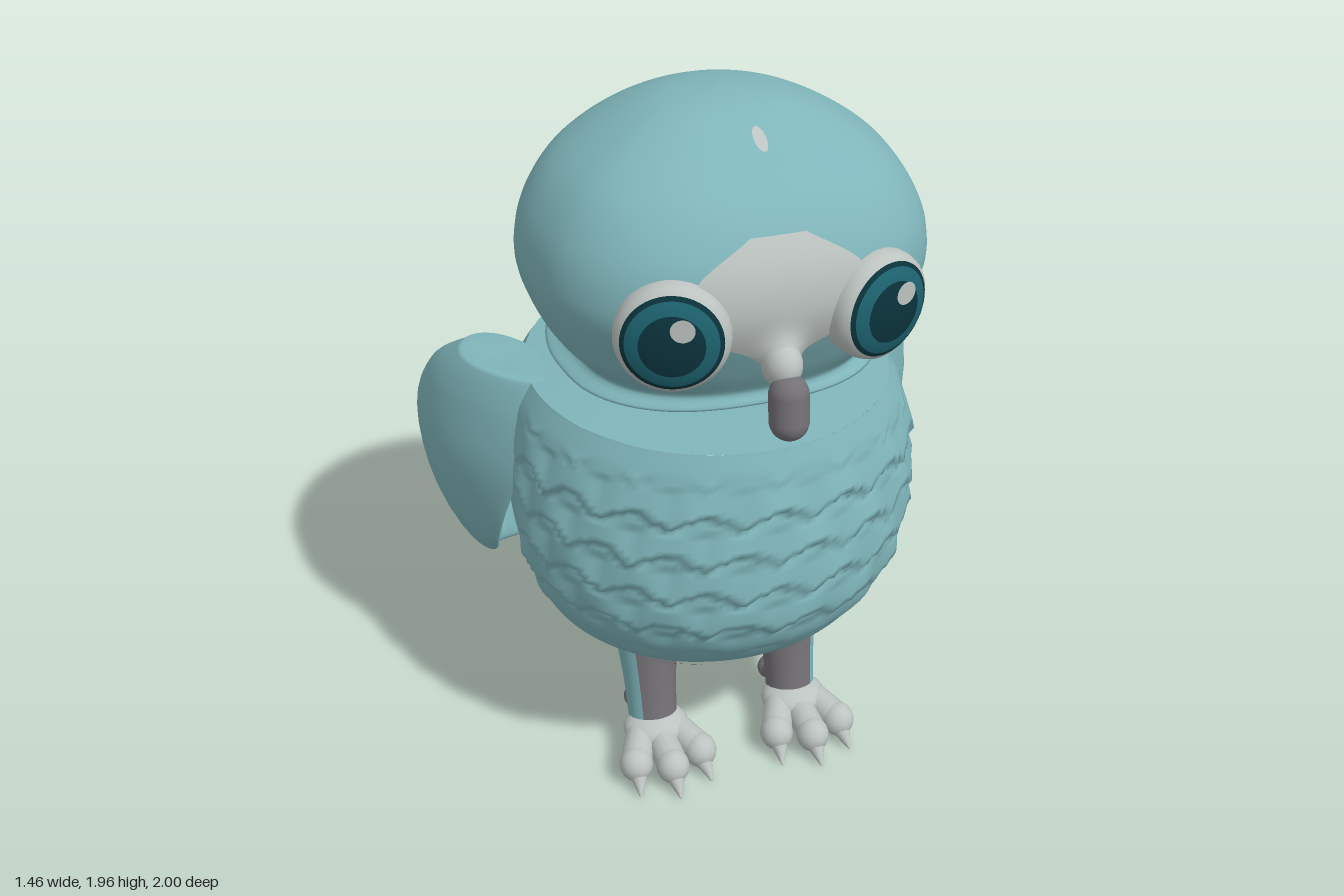
import * as THREE from 'three';
import { mergeVertices } from 'three/addons/utils/BufferGeometryUtils.js';

const { lerp, smoothstep, clamp } = THREE.MathUtils;
const TAU = Math.PI * 2;

function material(name, color) {
  const m = new THREE.MeshStandardMaterial({ color });
  m.name = name;
  return m;
}

// Smooth surface from a rule fn(u, v) -> [x, y, z]
function surface(nu, nv, fn) {
  const pos = [], idx = [];
  for (let j = 0; j <= nv; j++) for (let i = 0; i <= nu; i++) pos.push(...fn(i / nu, j / nv));
  for (let j = 0; j < nv; j++) for (let i = 0; i < nu; i++) {
    const a = j * (nu + 1) + i, b = a + 1, c = a + nu + 1;
    idx.push(a, c, b, b, c, c + 1);
  }
  const g = new THREE.BufferGeometry();
  g.setAttribute('position', new THREE.Float32BufferAttribute(pos, 3));
  g.setIndex(idx);
  const merged = mergeVertices(g, 1e-5);
  merged.computeVertexNormals();
  return merged;
}

// Smooth interpolation between table rows, t in 0..1
function rowAt(rows, t) {
  const n = rows.length - 1, f = clamp(t, 0, 1) * n, i = Math.min(Math.floor(f), n - 1), k = f - i;
  const p = [i - 1, i, i + 1, i + 2].map(q => rows[clamp(q, 0, n)]);
  return rows[0].map((_, c) => {
    const [a, b, d, e] = p.map(r => r[c]);
    return b + 0.5 * k * (d - a + k * (2 * a - 5 * b + 4 * d - e + k * (3 * (b - d) + e - a)));
  });
}

// Parameter t at which the rows reach height y
function findT(rows, y, lo = 0) {
  let hi = 1;
  for (let i = 0; i < 30; i++) {
    const mid = (lo + hi) / 2;
    if (rowAt(rows, mid)[0] < y) lo = mid; else hi = mid;
  }
  return lo;
}

const power = (v, e) => Math.sign(v) * Math.abs(v) ** e;

// Ring point; rows hold [y, half width, front z, back z, middle z]
function ringPoint(rows, a, t, n = 2) {
  const [y, w, front, back, mid] = rowAt(rows, t);
  const s = power(Math.sin(a), 2 / n), c = power(Math.cos(a), 2 / n);
  return [Math.max(w, 0) * c, y, mid + s * (s > 0 ? front - mid : mid - back)];
}

const bodyRows = [
  [0.2, 0, 0.2, 0.2, 0.2], [0.205, 0.1, 0.3, 0.1, 0.2], [0.235, 0.22, 0.43, -0.02, 0.22],
  [0.3, 0.33, 0.57, -0.15, 0.25], [0.4, 0.42, 0.71, -0.27, 0.3], [0.5, 0.48, 0.82, -0.34, 0.35],
  [0.65, 0.53, 0.9, -0.38, 0.38], [0.8, 0.55, 0.92, -0.375, 0.4], [0.95, 0.545, 0.915, -0.335, 0.4],
  [1.08, 0.53, 0.9, -0.27, 0.38], [1.165, 0.49, 0.87, -0.19, 0.36]];
const neckRows = [
  [1.165, 0.49, 0.87, -0.19, 0.36], [1.178, 0.38, 0.72, -0.05, 0.36], [1.185, 0.28, 0.6, 0.08, 0.35],
  [1.21, 0.28, 0.6, 0.08, 0.35], [1.225, 0.36, 0.66, 0.01, 0.35], [1.245, 0.36, 0.66, 0.01, 0.35]];
const headRows = [
  [1.245, 0, 0.35, 0.35, 0.35], [1.235, 0.41, 0.74, -0.1, 0.36], [1.28, 0.39, 0.76, -0.01, 0.38],
  [1.36, 0.455, 0.81, -0.035, 0.4], [1.5, 0.515, 0.88, -0.06, 0.42], [1.6, 0.52, 0.89, -0.055, 0.42],
  [1.7, 0.49, 0.86, -0.03, 0.42], [1.8, 0.42, 0.785, 0.03, 0.42], [1.885, 0.3, 0.66, 0.13, 0.42],
  [1.945, 0.16, 0.54, 0.27, 0.42], [1.965, 0, 0.42, 0.42, 0.42]];
const headPower = a => 2 + 0.5 * smoothstep(Math.sin(a), 0, 0.4);

// Front surface depth of the head at x, y
function headZ(x, y) {
  const [, w, front, , mid] = rowAt(headRows, findT(headRows, y, 0.15));
  return mid + (front - mid) * Math.max(0, 1 - Math.abs(x / w) ** 2.5) ** 0.4;
}

// Overlapping chest feathers as a scalloped sawtooth relief
function feather(p, a) {
  const mask = smoothstep(p[2], 0.33, 0.42) * smoothstep(p[1], 0.5, 0.6) * (1 - smoothstep(p[1], 1.04, 1.12));
  const row = Math.floor((p[1] - 0.5) / 0.115);
  const across = a * 9 + row * 1.57;
  const f = (p[1] - 0.5) / 0.115 - 0.4 * Math.abs(Math.sin(across));
  const saw = 1 - (f - Math.floor(f));
  const d = 0.032 * mask * (saw - 0.4) * (0.75 + 0.25 * Math.sin(across * 1.7 + row));
  return [p[0] + Math.cos(a) * d, p[1], p[2] + Math.sin(a) * d];
}

// Wing rows: [y, front z, back z, outer x, thickness]
const wingRows = [
  [0.195, -0.35, -0.38, 0.36, 0.01], [0.22, -0.32, -0.385, 0.39, 0.04], [0.265, -0.26, -0.4, 0.445, 0.06],
  [0.275, -0.24, -0.44, 0.46, 0.07], [0.37, -0.09, -0.435, 0.55, 0.09], [0.4, -0.03, -0.45, 0.575, 0.09],
  [0.5, 0.13, -0.465, 0.63, 0.1], [0.62, 0.23, -0.42, 0.68, 0.1], [0.75, 0.3, -0.35, 0.715, 0.11],
  [0.9, 0.36, -0.25, 0.73, 0.12], [1.05, 0.4, -0.12, 0.71, 0.16], [1.15, 0.4, 0.02, 0.675, 0.2],
  [1.17, 0.36, 0.06, 0.65, 0.18], [1.165, 0.2, 0.2, 0.58, 0]];

function wing(side) {
  return surface(32, 90, (u, v) => {
    const [y, zf, zb, x, th] = rowAt(wingRows, v), a = side * u * TAU;
    const z = (zf + zb) / 2 + Math.sin(a) * (zf - zb) / 2;
    const bow = z > 0 ? 1.1 * z * z : 0.25 * z * z;
    return [side * (x - bow - th / 2 * (1 - Math.cos(a))), y, z];
  });
}

// Broad tail with a notched end and slightly raised edges
function tailPoint(u, t) {
  const a = u * TAU, x = 0.285 * power(Math.cos(a), 0.6), e = Math.abs(x);
  const end = -0.87 - 0.13 * smoothstep(e, 0.03, 0.19) + 0.04 * smoothstep(e, 0.24, 0.29);
  const z = -0.2 + (end + 0.2) * t, tip = Math.max(0, (t - 0.9) / 0.1);
  const h = (lerp(0.16, 0.06, t) + 0.05 * (1 - smoothstep(t, 0, 0.4))) * Math.sqrt(1 - tip * tip);
  return [x, 0.57 + 0.41 * (z + 0.2) + h * power(Math.sin(a), 0.7) + 0.03 * (x / 0.285) ** 2 - 0.01, z];
}

// Tapered rod between two points
function rod(p, q, r0, r1) {
  const a = new THREE.Vector3(...p), d = new THREE.Vector3(...q).sub(a);
  const g = new THREE.CylinderGeometry(r1, r0, d.length(), 14);
  g.translate(0, d.length() / 2, 0);
  g.applyQuaternion(new THREE.Quaternion().setFromUnitVectors(new THREE.Vector3(0, 1, 0), d.normalize()));
  return g.translate(...p);
}
const ball = (p, sx, sy, sz) => new THREE.SphereGeometry(1, 20, 14).scale(sx, sy, sz).translate(...p);

export function createModel() {
  const teal = material('teal plumage', 0x7fb5ba), pale = material('pale grey', 0xbcc3c0);
  const dark = material('dark grey', 0x747176), iris = material('iris teal', 0x1d6370), pupil = material('pupil', 0x0b333c);
  const root = new THREE.Group();
  root.name = 'owl';
  const add = (name, geo, mat, parent = root) => {
    const m = new THREE.Mesh(geo, mat);
    m.name = name;
    parent.add(m);
    return m;
  };

  // Body, neck, head and tail
  add('body', surface(200, 110, (u, v) => feather(ringPoint(bodyRows, u * TAU, v), u * TAU)), teal);
  add('neck', surface(64, 30, (u, v) => ringPoint(neckRows, u * TAU, v)), teal);
  add('head', surface(80, 70, (u, v) => ringPoint(headRows, u * TAU, v, headPower(u * TAU))), teal);
  add('tail', surface(72, 40, tailPoint), teal);

  // Dark underside between the legs
  add('underside', surface(24, 20, (u, v) => {
    const y = lerp(0.207, 0.41, v), t = findT(bodyRows, y), w = rowAt(bodyRows, t)[1];
    const half = Math.asin(Math.min(0.95, 0.25 / w));
    const p = ringPoint(bodyRows, Math.PI / 2 + lerp(-half, half, u), t);
    return [p[0], p[1] - 0.004, p[2] + 0.006];
  }), dark);

  // Pale face mask rising to a bridge above the beak
  const maskRows = [[1.38, 0.04], [1.43, 0.06], [1.48, 0.15], [1.58, 0.22], [1.66, 0.2], [1.74, 0.07]];
  add('faceMask', surface(32, 32, (u, v) => {
    const [y, w] = rowAt(maskRows, v), x = lerp(w, -w, u);
    return [x, y, headZ(x, y) + 0.007 + 0.08 * Math.exp(-((x / 0.05) ** 2) - ((y - 1.42) / 0.06) ** 2)];
  }), pale);
  add('beakBridge', ball([0, 1.42, 0.89], 0.05, 0.06, 0.06), pale);
  const beak = add('beak', new THREE.CapsuleGeometry(0.05, 0.07, 8, 18), dark);
  beak.position.set(0, 1.33, 0.945);
  beak.rotation.x = -0.12;

  // Forehead spot
  const spot = new THREE.Group();
  spot.name = 'foreheadSpot';
  spot.position.set(0, 1.905, 0.69);
  spot.rotation.x = -1.05;
  root.add(spot);
  add('spotDisc', new THREE.CircleGeometry(1, 32).scale(0.055, 0.105, 1), teal, spot);
  add('spotGlint', new THREE.CircleGeometry(1, 20).scale(0.016, 0.04, 1).translate(0.012, 0.015, 0.004), pale, spot);

  // Domed eyes made of coloured rings
  const dome = r => 0.015 + 0.055 * Math.sqrt(Math.max(0, 1 - (r / 0.14) ** 2));
  const ring = (r0, r1) => new THREE.LatheGeometry(
    Array.from({ length: 9 }, (_, i) => new THREE.Vector2(lerp(r0, r1, i / 8), dome(lerp(r0, r1, i / 8)))), 48).rotateX(Math.PI / 2);
  const rim = new THREE.LatheGeometry([[0.13, -0.09], [0.142, -0.02], [0.142, 0.01], [0.136, 0.03], [0.124, dome(0.124)]]
    .map(p => new THREE.Vector2(...p)), 48).rotateX(Math.PI / 2);

  for (const side of [1, -1]) {
    const label = side > 0 ? 'left' : 'right';
    const eye = new THREE.Group();
    eye.name = label + 'Eye';
    eye.position.set(side * 0.262, 1.52, 0.845);
    eye.rotation.y = side * 0.34;
    root.add(eye);
    add('eyeRim', rim, pale, eye);
    add('eyeEdge', ring(0.124, 0.113), pupil, eye);
    add('iris', ring(0.113, 0.08), iris, eye);
    add('pupil', ring(0.08, 0), pupil, eye);
    add('glint', new THREE.CircleGeometry(0.03, 24).translate(0.025, 0.048, dome(0.054) + 0.008), pale, eye);

    add(label + 'Wing', wing(side), teal);

    // Leg: feathered outside, dark inside
    const leg = (from, to) => surface(20, 10, (u, v) => {
      const a = side > 0 ? lerp(from, to, u) : lerp(to, from, u), r = lerp(0.07, 0.1, v * v);
      return [side * (0.212 + r * Math.cos(a)), lerp(0.09, 0.42, v), lerp(0.535, 0.46, v) + r * Math.sin(a)];
    });
    add(label + 'LegOutside', leg(-1.3, 0.9), teal);
    add(label + 'LegInside', leg(0.9, TAU - 1.3), dark);

    // Foot with three front toes, claws and a back toe
    const foot = new THREE.Group();
    foot.name = label + 'Foot';
    root.add(foot);
    add('footPad', ball([side * 0.212, 0.095, 0.56], 0.095, 0.052, 0.085), pale, foot);
    for (const k of [-1, 0, 1]) {
      const x = side * 0.212 + k * 0.095, z = k ? 0.67 : 0.71;
      add('toe', rod([side * 0.212 + k * 0.05, 0.09, 0.57], [x, 0.07, z], 0.042, 0.045), pale, foot);
      add('toeTip', ball([x, 0.068, z], 0.047, 0.05, 0.05), pale, foot);
      add('claw', rod([x, 0.055, z + 0.02], [x + k * 0.01, 0.012, z + 0.075], 0.03, 0.003), pale, foot);
    }
    add('backToe', rod([side * 0.212, 0.1, 0.53], [side * 0.212, 0.07, 0.39], 0.05, 0.035), dark, foot);
    add('backToeTip', ball([side * 0.212, 0.068, 0.385], 0.042, 0.04, 0.035), dark, foot);
  }
  return root;
}
